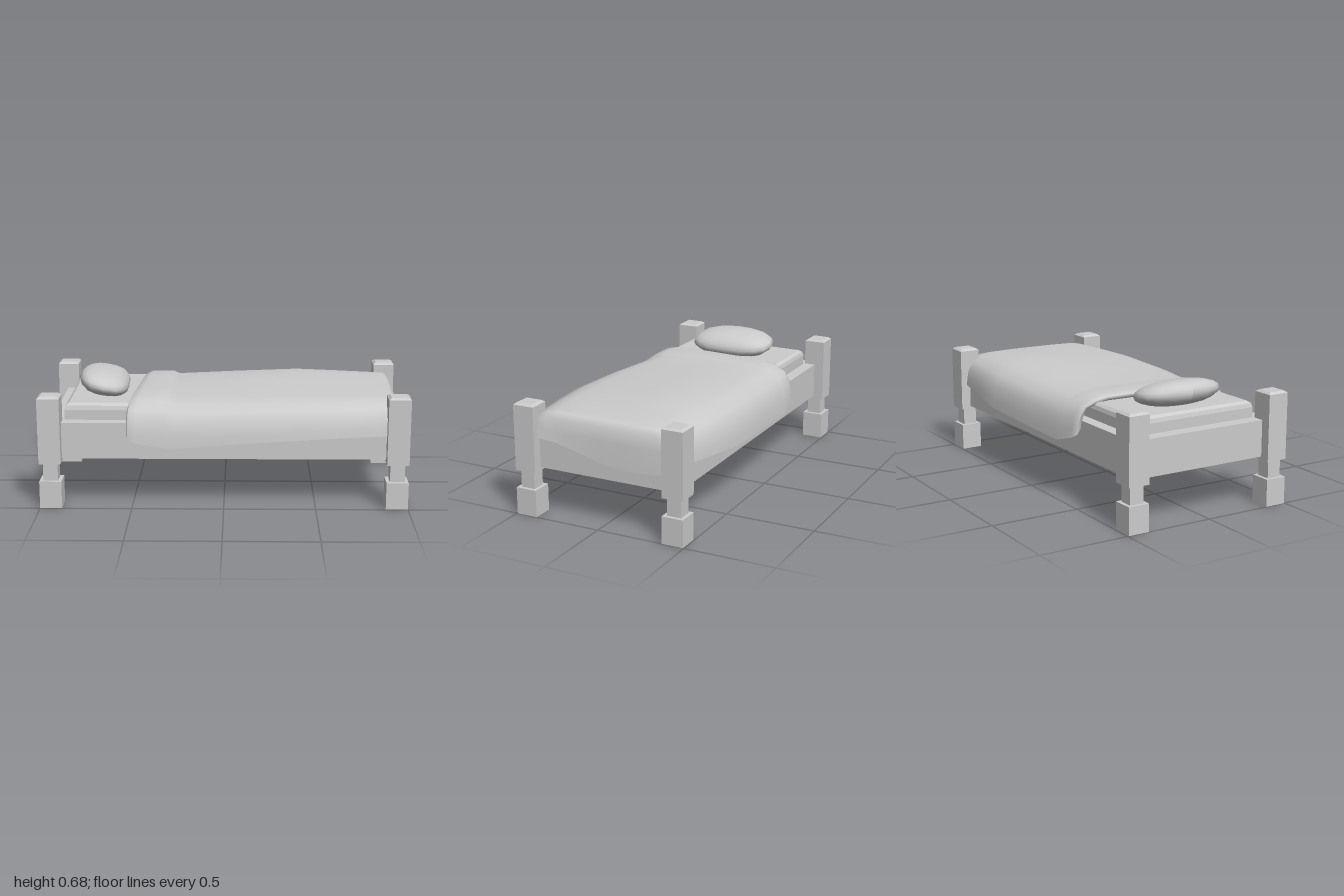
import * as THREE from 'three';

const grey = new THREE.MeshStandardMaterial({ color: 0xcccccc, side: THREE.DoubleSide });
const flatGrey = new THREE.MeshStandardMaterial({ color: 0xcccccc, side: THREE.DoubleSide, flatShading: true });

function add(parent, name, geometry, material) {
  const mesh = new THREE.Mesh(geometry, material);
  mesh.name = name;
  parent.add(mesh);
  return mesh;
}

// Skins a list of equally long rows of [x, y, z] points.
function loft(rows) {
  const n = rows[0].length;
  const index = [];
  for (let i = 0; i < rows.length - 1; i++) {
    for (let j = 0; j < n - 1; j++) {
      const a = i * n + j, b = a + 1, c = a + n, d = c + 1;
      index.push(a, b, c, b, d, c);
    }
  }
  const geometry = new THREE.BufferGeometry();
  geometry.setAttribute('position', new THREE.Float32BufferAttribute(rows.flat(2), 3));
  geometry.setIndex(index);
  geometry.computeVertexNormals();
  return geometry;
}

function faceted(geometry) {
  const g = geometry.toNonIndexed();
  g.computeVertexNormals();
  return g;
}

// Square post: foot block, thin neck, tall block with chamfered top; open underneath.
function postGeometry() {
  const profile = [
    [0.06, 0], [0.06, 0.15], [0.04, 0.15], [0.04, 0.248],
    [0.06, 0.248], [0.06, 0.61], [0.045, 0.621], [0, 0.621],
  ].map(([half, y]) => new THREE.Vector2(half * Math.SQRT2, y));
  return faceted(new THREE.LatheGeometry(profile, 4).rotateY(Math.PI / 4));
}

// Mattress: rectangular shell with softened upper edges, open underneath.
function mattressGeometry() {
  const ring = (x, y, z) => [[x, y, z], [x, y, -z], [-x, y, -z], [-x, y, z], [x, y, z]];
  return faceted(loft([
    ring(0.868, 0.44, 0.368), ring(0.868, 0.52, 0.368), ring(0.862, 0.542, 0.362),
    ring(0.845, 0.555, 0.345), ring(0, 0.555, 0),
  ]));
}

// Blanket: draped cross-sections from the head edge to the foot, then down over the foot board.
function blanketGeometry() {
  // [share of half width, share of height between hem and top, share of the ridge]
  const half = [[1, 0], [0.99, 0.22], [0.965, 0.5], [0.9, 0.76], [0.76, 0.91], [0.62, 0.98]];
  const section = [
    ...half.map(([s, k]) => [-s, k, k * 0.4]),
    [-0.32, 1, 1], [0, 1, 0.6], [0.32, 1, 0.2],
    ...half.map(([s, k]) => [s, k, 0]).reverse(),
  ];
  // [x, top, ridge, back z, front z, back hem, front hem, skew]
  const stations = [
    [-0.455, 0.548, 0, 0.42, 0.43, 0.43, 0.42, 0.035],
    [-0.490, 0.562, 0, 0.445, 0.455, 0.42, 0.41, 0.038],
    [-0.485, 0.580, 0, 0.465, 0.468, 0.39, 0.38, 0.035],
    [-0.445, 0.592, 0, 0.482, 0.475, 0.37, 0.36, 0.03],
    [-0.310, 0.592, 0, 0.492, 0.476, 0.335, 0.335, 0.01],
    [-0.270, 0.576, 0.002, 0.495, 0.482, 0.33, 0.334, 0],
    [0.05, 0.583, 0.018, 0.508, 0.515, 0.345, 0.368, 0],
    [0.42, 0.591, 0.03, 0.518, 0.516, 0.36, 0.393, 0],
    [0.64, 0.590, 0.018, 0.492, 0.493, 0.38, 0.4, 0],
    [0.88, 0.588, 0.003, 0.46, 0.463, 0.40, 0.403, 0],
  ];
  const rows = stations.map(([x, top, ridge, back, front, hemBack, hemFront, skew]) =>
    section.map(([s, k, r]) => {
      const hem = s < 0 ? hemBack : hemFront;
      return [x - skew * s, hem + (top - hem) * k + ridge * r, s * (s < 0 ? back : front)];
    }));
  const last = rows[rows.length - 1];
  const hemLine = (z) => 0.38 + 0.08 * z - 0.025 * Math.cos((z + 0.12) * 7);
  const drop = [
    [0.925, () => 0.577, 0.97], [0.953, () => 0.55, 0.94],
    [0.965, () => 0.48, 0.93], [0.973, hemLine, 0.93],
  ];
  for (const [x, limit, narrow] of drop) {
    rows.push(last.map(([, y, z]) => [x - 0.006 * Math.sin(z * 6), Math.min(y, limit(z)), z * narrow]));
  }
  return loft(rows);
}

// Pillow: sphere squared off in plan, flattened, and sloping down from the head end.
function pillowGeometry() {
  const g = new THREE.SphereGeometry(1, 16, 10);
  const p = g.attributes.position;
  const square = (v, e) => Math.sign(v) * Math.abs(v) ** e;
  for (let i = 0; i < p.count; i++) {
    const x = square(p.getX(i), 0.75), z = square(p.getZ(i), 0.85);
    const y = p.getY(i) * 0.07 - 0.022 * x;
    p.setXYZ(i, x * 0.14 + (z > 0 ? 0.015 : -0.005) * z, y, z * 0.25);
  }
  g.computeVertexNormals();
  return g;
}

export function createModel() {
  const bed = new THREE.Group();
  bed.name = 'bed';

  const post = postGeometry();
  const sideRail = new THREE.BoxGeometry(1.84, 0.2, 0.068);
  const endRail = new THREE.BoxGeometry(0.075, 0.2, 0.78);
  for (const [s, end] of [[-1, 'head'], [1, 'foot']]) {
    for (const [t, side] of [[-1, 'Back'], [1, 'Front']]) {
      add(bed, `${end}${side}Post`, post, flatGrey).position.set(s * 0.94, 0, t * 0.435);
    }
    add(bed, `${end}Rail`, endRail, flatGrey).position.set(s * 0.907, 0.365, 0);
    add(bed, s < 0 ? 'backRail' : 'frontRail', sideRail, flatGrey).position.set(0, 0.365, s * 0.404);
  }

  add(bed, 'mattress', mattressGeometry(), flatGrey);
  add(bed, 'blanket', blanketGeometry(), grey);
  add(bed, 'pillow', pillowGeometry(), grey).position.set(-0.68, 0.608, 0.015);

  return bed;
}
